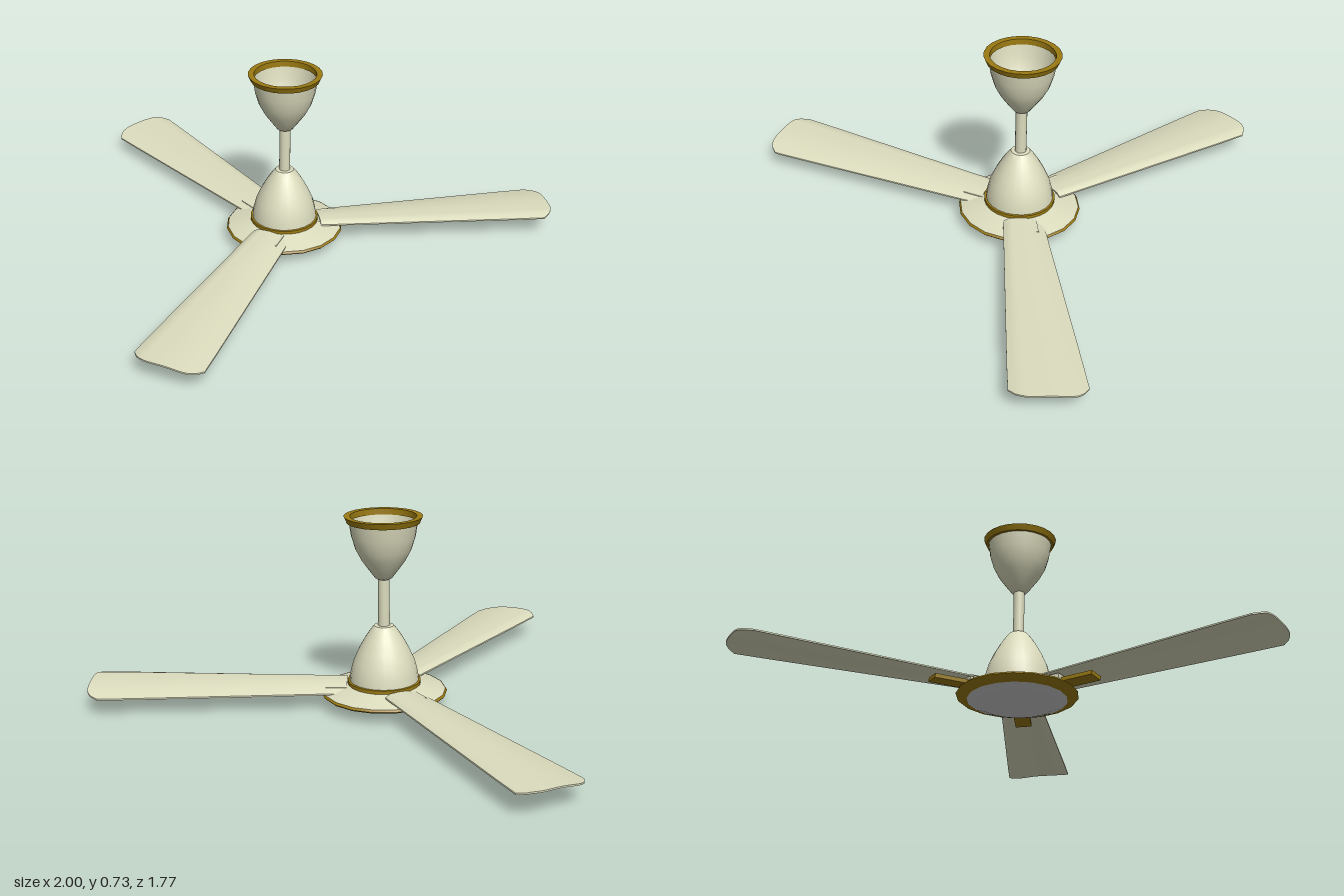
import * as THREE from 'three';
import { toCreasedNormals } from 'three/addons/utils/BufferGeometryUtils.js';

const material = (color) => new THREE.MeshStandardMaterial({ color, side: THREE.DoubleSide });
const cream = material(0xdcdcbe);
const gold = material(0x9a7a12);
const grey = material(0xcccccc);

// Turned part from [radius, height] pairs, listed from bottom to top
function turned(name, points, mat, segments = 24) {
  const profile = points.map(([r, y]) => new THREE.Vector2(r, y));
  const geometry = toCreasedNormals(new THREE.LatheGeometry(profile, segments), 0.6);
  const mesh = new THREE.Mesh(geometry, mat);
  mesh.name = name;
  return mesh;
}

// Height of the blade across its width, u from -1 to 1: curled down at both edges
function bladeHeight(u) {
  const leading = 0.011 * Math.max(0, (-u - 0.75) / 0.25);
  const trailing = 0.025 * Math.pow(Math.max(0, (u + 0.3) / 1.3), 2);
  return 0.09 - leading - trailing;
}

// Tapered plate with a rounded tip, reaching out along +z
function bladeGeometry() {
  const geometry = new THREE.BoxGeometry(2, 0.006, 1, 14, 1, 8);
  const p = geometry.attributes.position;
  for (let i = 0; i < p.count; i++) {
    const u = p.getX(i);
    const tip = 1.11 - 0.05 * Math.pow(Math.abs(u), 5);
    const r = THREE.MathUtils.lerp(0.14, tip, p.getZ(i) + 0.5);
    const t = (r - 0.2) / 0.865;
    const left = -0.083 - 0.074 * t;
    const right = 0.079 + 0.036 * t;
    // trim the corners of the tip
    const trim = 1 - 0.06 * Math.max(0, (r - 1.05) / 0.06);
    const x = THREE.MathUtils.lerp(left, right, (u + 1) / 2) * trim;
    p.setXYZ(i, x, bladeHeight(u) + p.getY(i), r);
  }
  return toCreasedNormals(geometry, 0.5);
}

export function createModel() {
  const fan = new THREE.Group();
  fan.name = 'ceilingFan';

  // Ceiling canopy, open at the top, with its rim
  fan.add(turned('canopy', [
    [0.022, 0.49], [0.032, 0.495], [0.058, 0.53], [0.083, 0.565],
    [0.104, 0.605], [0.119, 0.655], [0.128, 0.715],
  ], cream));
  fan.add(turned('canopyRim', [
    [0.122, 0.706], [0.136, 0.706], [0.146, 0.729], [0.123, 0.729], [0.122, 0.706],
  ], gold));

  // Down rod
  const rod = new THREE.Mesh(new THREE.CylinderGeometry(0.022, 0.022, 0.23, 16), cream);
  rod.name = 'downRod';
  rod.position.y = 0.4;
  fan.add(rod);

  // Motor cover with its base ring
  fan.add(turned('motorCover', [
    [0.131, 0.095], [0.127, 0.13], [0.115, 0.175], [0.096, 0.218],
    [0.072, 0.262], [0.052, 0.292], [0.037, 0.311], [0, 0.313],
  ], cream));
  fan.add(turned('coverRing', [
    [0.125, 0.08], [0.138, 0.085], [0.138, 0.098], [0.125, 0.1],
  ], gold));

  // Hub disc: sloping top, trim ring and shallow bowl below
  fan.add(turned('hubTop', [[0.232, 0.059], [0.2, 0.068], [0.125, 0.088]], cream, 18));
  fan.add(turned('hubTrim', [
    [0.195, 0.034], [0.232, 0.046], [0.238, 0.052], [0.232, 0.06],
  ], gold, 18));
  fan.add(turned('hubBowl', [
    [0, 0], [0.08, 0.004], [0.145, 0.015], [0.197, 0.035],
  ], grey, 18));

  // Three blades, each with a holder and an underside bracket
  const plate = bladeGeometry();
  for (let i = 0; i < 3; i++) {
    const arm = new THREE.Group();
    arm.name = 'bladeArm' + (i + 1);
    arm.rotation.y = (i * 2 * Math.PI) / 3;

    const blade = new THREE.Mesh(plate, cream);
    blade.name = 'blade';
    const holder = new THREE.Mesh(new THREE.BoxGeometry(0.1, 0.02, 0.1), cream);
    holder.name = 'bladeHolder';
    holder.position.set(0, 0.073, 0.17);
    const bracket = new THREE.Mesh(new THREE.BoxGeometry(0.065, 0.016, 0.135), gold);
    bracket.name = 'bladeBracket';
    bracket.position.set(0, 0.062, 0.287);
    bracket.rotation.z = -0.06;
    arm.add(blade, holder, bracket);
    fan.add(arm);
  }

  fan.position.set(-0.013, 0, -0.222);
  const model = new THREE.Group();
  model.add(fan);
  return model;
}
